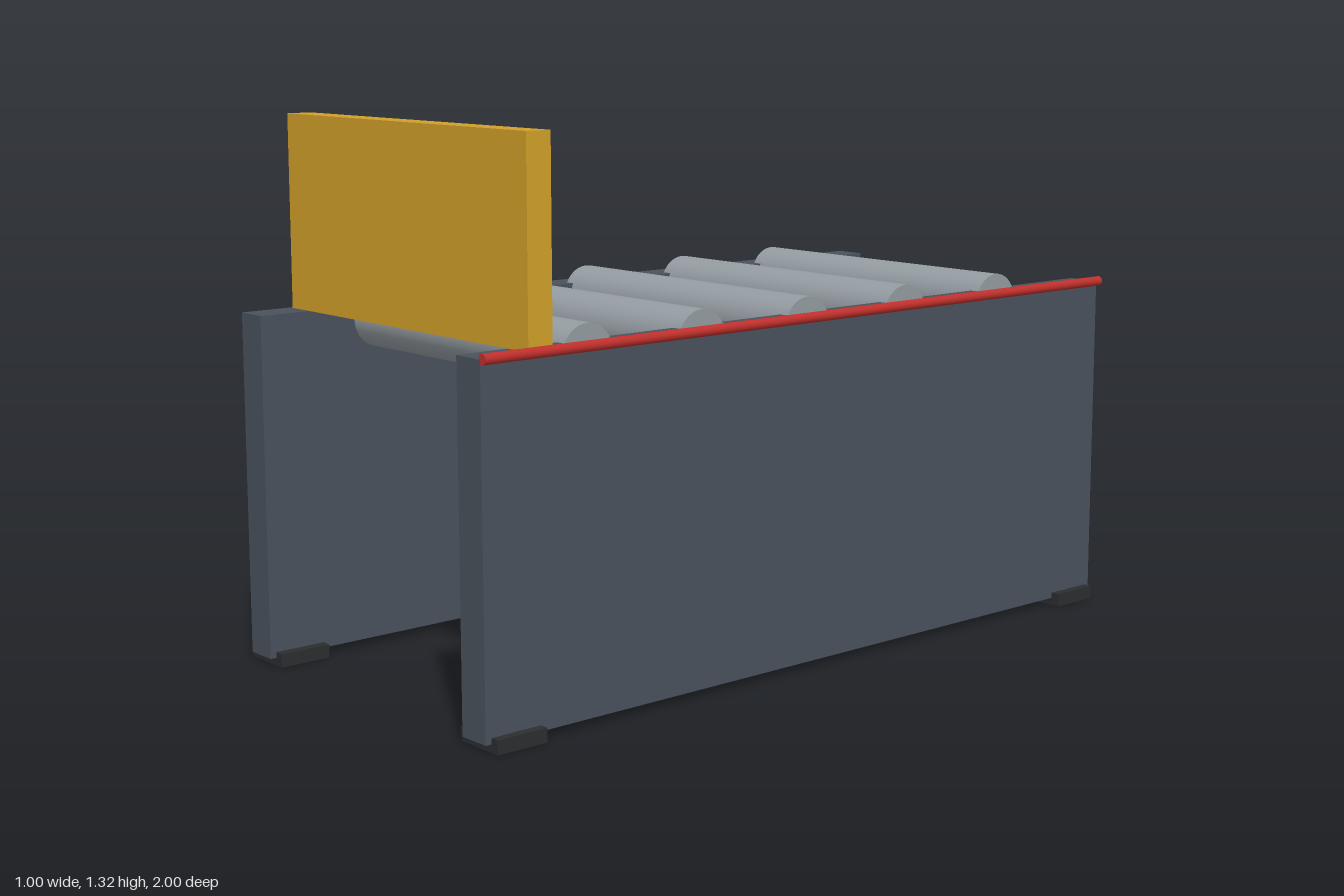
import * as THREE from 'three';

const paint = (color) => new THREE.MeshStandardMaterial({ color });

export function createModel() {
  const model = new THREE.Group();
  model.name = 'rollerConveyor';

  const steel = paint(0x4a525c);
  const rubber = paint(0x2b2d30);
  const metal = paint(0x949ca2);
  const yellow = paint(0xd1a02a);
  const red = paint(0xc0302c);

  const add = (name, geometry, material, x, y, z) => {
    const mesh = new THREE.Mesh(geometry, material);
    mesh.name = name;
    mesh.position.set(x, y, z);
    model.add(mesh);
    return mesh;
  };

  // Side walls with a foot pad under each end
  const wall = new THREE.BoxGeometry(0.084, 0.832, 2);
  const foot = new THREE.BoxGeometry(0.133, 0.033, 0.133);
  for (const [side, s] of [['left', 1], ['right', -1]]) {
    add(`${side}Wall`, wall, steel, s * 0.434, 0.435, 0);
    for (const [end, e] of [['Front', 1], ['Back', -1]]) {
      add(`${side}${end}Foot`, foot, rubber, s * 0.4325, 0.0165, e * 0.918);
    }
  }

  // Five rollers spanning the walls
  const roller = new THREE.CylinderGeometry(0.072, 0.072, 0.836, 32).rotateZ(Math.PI / 2);
  for (let i = 0; i < 5; i++) {
    add(`roller${i + 1}`, roller, metal, 0, 0.819, (i - 2) * 0.334);
  }

  // Upright stop plate near the front
  add('stopPlate', new THREE.BoxGeometry(0.932, 0.466, 0.065), yellow, 0, 1.084, 0.834);

  // Safety cord along the top outer edge of the left wall
  const cord = new THREE.CylinderGeometry(0.0125, 0.0125, 2, 16).rotateX(Math.PI / 2);
  add('safetyCord', cord, red, 0.483, 0.852, 0);

  return model;
}
